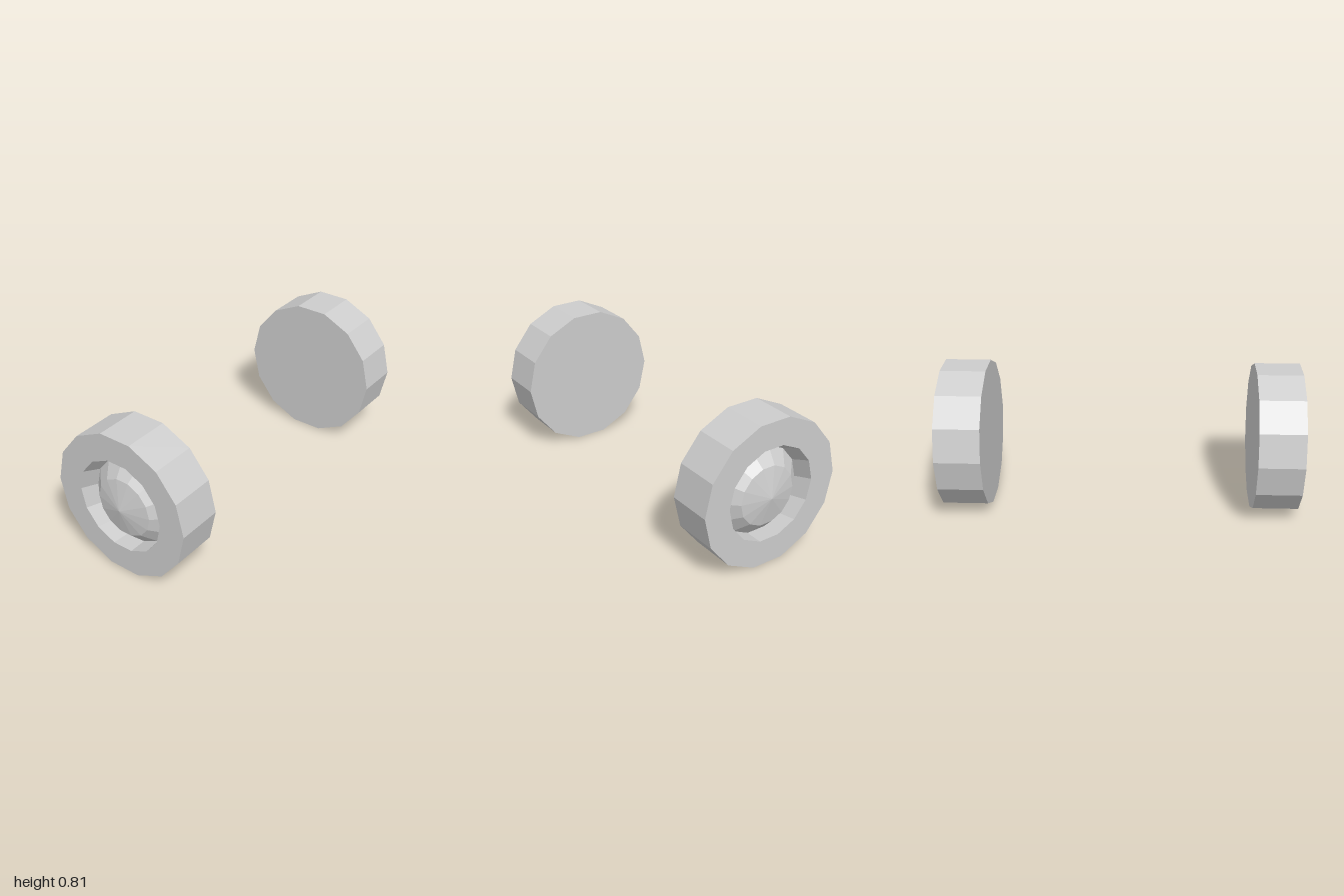
import * as THREE from 'three';

const SIDES = 14;

// Skin a row of rings [x, radius, centreY] lying across the x axle
function loft(rings) {
  const point = ([x, r, cy], i) => {
    const a = ((i % SIDES) / SIDES) * Math.PI * 2;
    return [x, cy + r * Math.sin(a), r * Math.cos(a)];
  };
  const pos = [];
  for (let k = 0; k < rings.length - 1; k++) {
    const A = rings[k], B = rings[k + 1];
    for (let i = 0; i < SIDES; i++) {
      if (A[1] > 0) pos.push(...point(A, i), ...point(B, i), ...point(A, i + 1));
      if (B[1] > 0) pos.push(...point(B, i), ...point(B, i + 1), ...point(A, i + 1));
    }
  }
  const geo = new THREE.BufferGeometry();
  geo.setAttribute('position', new THREE.Float32BufferAttribute(pos, 3));
  geo.computeVertexNormals();
  return geo;
}

export function createModel() {
  const grey = new THREE.MeshStandardMaterial({ color: 0xcccccc, flatShading: true });
  grey.name = 'light grey';

  const axleY = 0.405, hubY = 0.38;

  // Closed inner side, tread, outer side, and the recess narrowing to the hub
  const tyreGeo = loft([
    [0.741, 0, axleY],
    [0.741, 0.415, axleY],
    [0.994, 0.415, axleY],
    [0.994, 0.265, axleY],
    [0.89, 0.245, hubY],
  ]);

  // Shallow domed hub, set slightly below the axle
  const hubGeo = loft([
    [0.89, 0.245, hubY],
    [0.963, 0.167, hubY],
    [1.0, 0, hubY],
  ]);

  const model = new THREE.Group();
  model.name = 'wheelPair';
  for (const side of ['left', 'right']) {
    const wheel = new THREE.Group();
    wheel.name = side + 'Wheel';
    const tyre = new THREE.Mesh(tyreGeo, grey);
    tyre.name = 'tyre';
    const hub = new THREE.Mesh(hubGeo, grey);
    hub.name = 'hubCap';
    wheel.add(tyre, hub);
    if (side === 'right') wheel.rotation.y = Math.PI;
    model.add(wheel);
  }
  return model;
}
